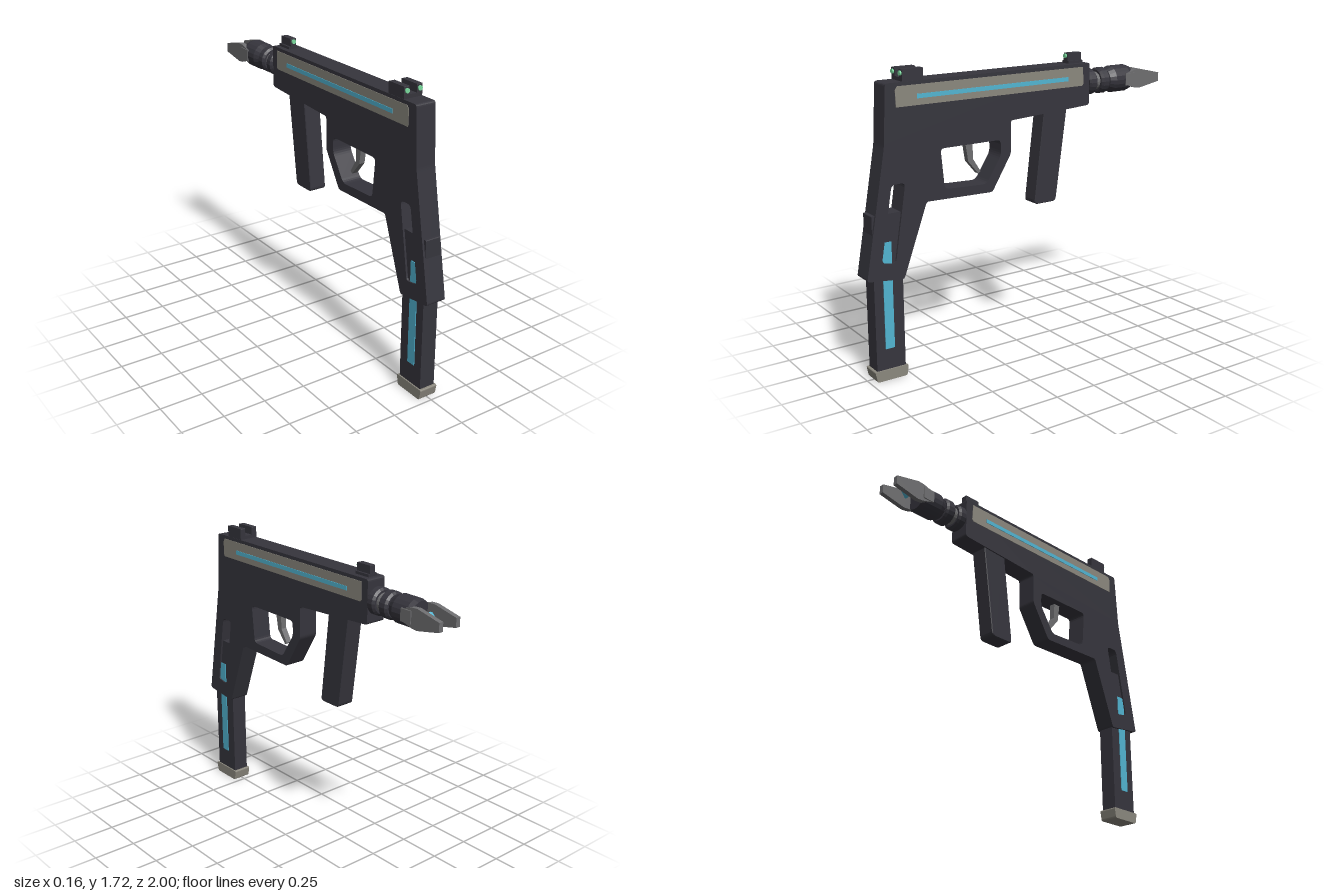
import * as THREE from 'three';

const mat = (name, color) => {
  const m = new THREE.MeshStandardMaterial({ color });
  m.name = name;
  return m;
};

// Trace a polygon of [z, y] corners with softened corners
function trace(path, pts, r) {
  const v = pts.map(([z, y]) => new THREE.Vector2(-z, y));
  v.forEach((p, i) => {
    const a = v[(i + v.length - 1) % v.length], b = v[(i + 1) % v.length];
    const toward = (q) => p.clone().lerp(q, Math.min(0.45, r / p.distanceTo(q)));
    const s = toward(a), e = toward(b);
    if (i === 0) path.moveTo(s.x, s.y); else path.lineTo(s.x, s.y);
    if (r > 0) path.quadraticCurveTo(p.x, p.y, e.x, e.y);
  });
  path.closePath();
  return path;
}

// Side profile extruded across x from x0 to x1
function slab(pts, x0, x1, { r = 0, bevel = 0, holes = [] } = {}) {
  const shape = trace(new THREE.Shape(), pts, r);
  holes.forEach((h) => shape.holes.push(trace(new THREE.Path(), h, 0.025)));
  const g = new THREE.ExtrudeGeometry(shape, {
    depth: x1 - x0 - 2 * bevel, curveSegments: 4,
    bevelEnabled: bevel > 0, bevelSize: bevel, bevelThickness: bevel, bevelOffset: -bevel, bevelSegments: 1,
  });
  return g.translate(0, 0, x0 + bevel).rotateY(Math.PI / 2);
}

const rect = (z0, z1, y0, y1) => [[z0, y0], [z1, y0], [z1, y1], [z0, y1]];

export function createModel() {
  const group = new THREE.Group();
  const dark = mat('dark casing', 0x36353d);
  const taupe = mat('warm grey trim', 0x8b887e);
  const steel = mat('steel grey', 0x6e6e70);
  const blue = mat('glow blue', 0x52b5d2);
  const green = mat('sight green', 0x7bdc9f);
  const add = (name, geo, m) => {
    const mesh = new THREE.Mesh(geo, m);
    mesh.name = name;
    group.add(mesh);
    return mesh;
  };

  // Main casing, outlined counter-clockwise so the opening walls face inwards
  add('body', slab([
    [0.858, 1.65], [0.877, 1.315], [1.003, 0.597], [0.78, 0.572], [0.63, 0.985],
    [0.205, 0.975], [0.08, 1.18], [0.08, 1.37], [-0.475, 1.402], [-0.475, 1.65],
  ], -0.06, 0.06, {
    r: 0.015,
    holes: [
      [[0.537, 1.268], [0.148, 1.268], [0.146, 1.18], [0.245, 1.027], [0.515, 1.038]],
      [[0.84, 1.11], [0.758, 1.11], [0.828, 0.67], [0.912, 0.685]],
    ],
  }), dark);

  // Magazine
  add('magazine', slab(rect(0.959, 0.783, 0.05, 0.953), -0.048, 0.048, { r: 0.006 }), dark);
  add('magazineBase', slab([[0.962, 0], [0.778, 0], [0.768, 0.063], [0.975, 0.063]], -0.056, 0.056,
    { r: 0.01 }), taupe);

  // Foregrip
  add('foregrip', slab([[-0.16, 1.42], [-0.322, 1.42], [-0.246, 0.85], [-0.093, 0.85]], -0.052, 0.052,
    { r: 0.025, bevel: 0.004 }), dark);

  // Trigger
  add('trigger', slab([
    [0.36, 1.3], [0.31, 1.3], [0.305, 1.17], [0.257, 1.095], [0.272, 1.083], [0.337, 1.16],
  ], -0.018, 0.018), steel);

  // Round dot facing the rear
  const dot = (x, z) => new THREE.CylinderGeometry(0.013, 0.013, 0.014, 12)
    .rotateX(Math.PI / 2).translate(x, 1.693, z);

  // Mirrored side details
  for (const s of [-1, 1]) {
    const side = s > 0 ? 'left' : 'right';
    const plate = (name, pts, a, b, m, opt) =>
      add(side + name, slab(pts, Math.min(s * a, s * b), Math.max(s * a, s * b), opt), m);
    plate('Panel', [[0.8, 1.52], [-0.42, 1.52], [-0.43, 1.53], [-0.425, 1.63], [0.79, 1.63], [0.803, 1.61]],
      0.056, 0.063, taupe);
    plate('PanelStripe', rect(0.675, -0.318, 1.556, 1.58), 0.06, 0.066, blue);
    plate('MagazineStripe', rect(0.904, 0.848, 0.185, 0.797), 0.045, 0.052, blue);
    // Muzzle prongs and their roots
    plate('Prong', [
      [-0.75, 1.495], [-0.81, 1.475], [-0.85, 1.47], [-1, 1.498],
      [-1, 1.55], [-0.85, 1.585], [-0.81, 1.583], [-0.75, 1.565],
    ], 0.047, 0.075, steel);
    plate('ProngRoot', rect(-0.738, -0.81, 1.495, 1.565), 0.05, 0.081, steel);
    // Rear sight posts
    plate('RearSightPost', rect(0.757, 0.632, 1.645, 1.715), 0.024, 0.058, dark, { r: 0.004 });
    add(side + 'SightDot', dot(s * 0.041, 0.759), green);
  }
  add('rearSightBase', slab(rect(0.757, 0.632, 1.64, 1.67), -0.03, 0.03), dark);

  // Front sight
  add('frontSightBase', slab(rect(-0.345, -0.447, 1.64, 1.665), -0.03, 0.03), dark);
  add('frontSight', slab(rect(-0.345, -0.444, 1.645, 1.71), -0.018, 0.018, { r: 0.004 }), dark);
  add('frontSightDot', dot(0, -0.343), green);

  // Barrel pieces: [radius, z] profiles turned about the barrel axis
  const turned = (name, profile, m) => add(name, new THREE.LatheGeometry(
    profile.map(([r, z]) => new THREE.Vector2(r, -z)), 20).toNonIndexed()
    .rotateX(-Math.PI / 2).translate(0, 1.53, 0), m).geometry.computeVertexNormals();
  const ring = (z0, z1, r) => [[0, z0], [r - 0.012, z0], [r, z0 - 0.012], [r, z1 + 0.012], [r - 0.012, z1], [0, z1]];
  turned('barrelCore', [[0, -0.46], [0.053, -0.46], [0.053, -0.7], [0, -0.7]], steel);
  turned('barrelRingRear', ring(-0.477, -0.535, 0.077), dark);
  turned('barrelRingFront', ring(-0.565, -0.628, 0.077), dark);
  turned('muzzle', [[0, -0.635], [0.062, -0.635], [0.08, -0.672], [0.08, -0.775], [0.07, -0.805], [0, -0.805]], dark);

  // Glowing tip between the prongs
  add('emitter', new THREE.ConeGeometry(0.029, 0.045, 12)
    .rotateX(-Math.PI / 2).translate(0, 1.53, -0.888), blue);

  return group;
}
